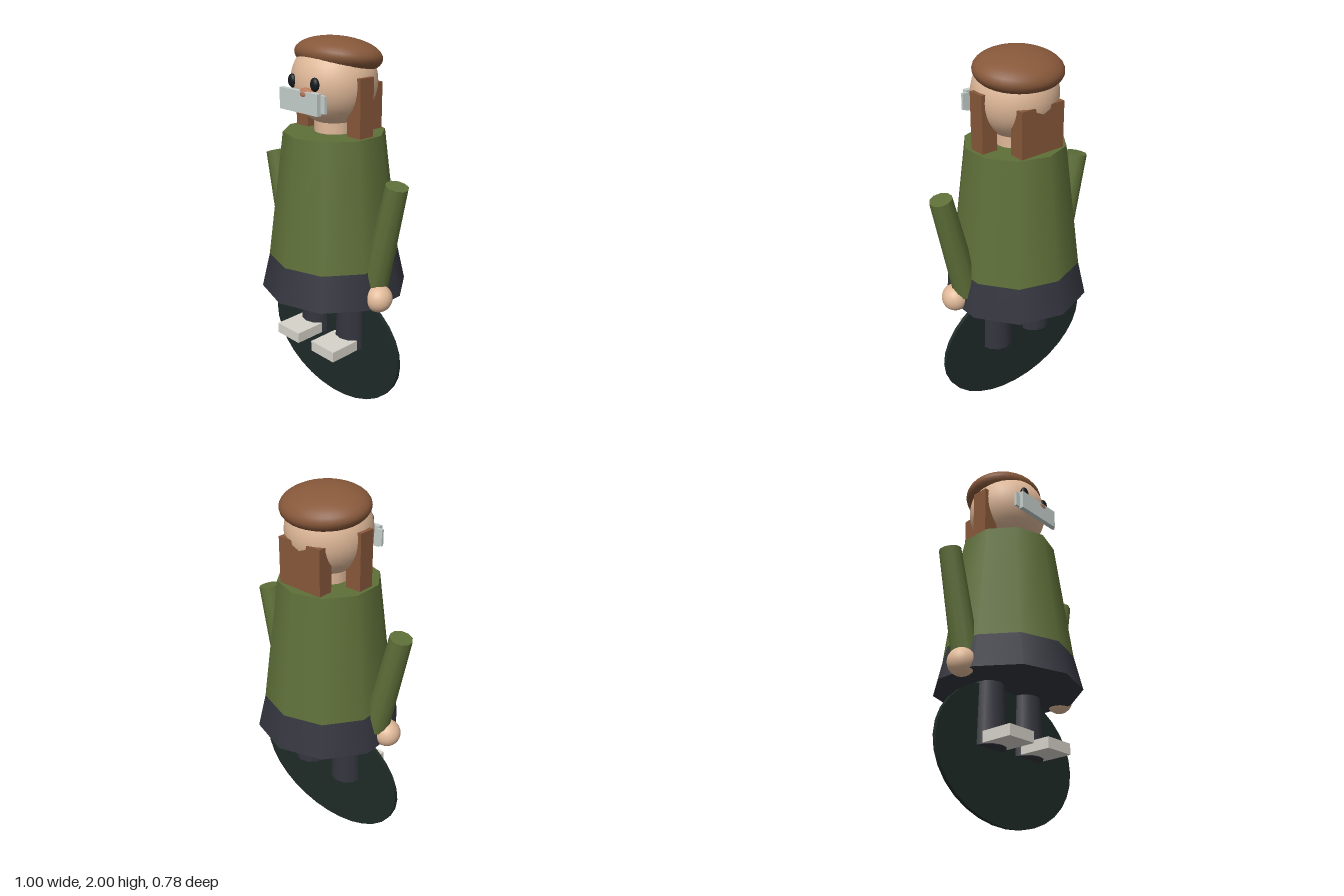
import * as THREE from 'three';

const mat = (color) => new THREE.MeshStandardMaterial({ color });

export function createModel() {
  const model = new THREE.Group();
  const green = mat(0x5f7039), charcoal = mat(0x34353e), hair = mat(0x87583a), skin = mat(0xe0b999);
  const black = mat(0x17191b), shoe = mat(0xd6d3ca), steel = mat(0xc6d0cc), nose = mat(0xb87a5c), dark = mat(0x1e2a27);

  const add = (name, geometry, material, x, y, z) => {
    const mesh = new THREE.Mesh(geometry, material);
    mesh.name = name;
    mesh.position.set(x, y, z);
    model.add(mesh);
    return mesh;
  };
  // Cylinder between two heights on a vertical axis
  const column = (name, material, rTop, rBottom, y0, y1, sides, x = 0) =>
    add(name, new THREE.CylinderGeometry(rTop, rBottom, y1 - y0, sides), material, x, (y0 + y1) / 2, 0);
  // Box from its limits
  const box = (name, material, x0, x1, y0, y1, z0, z1) =>
    add(name, new THREE.BoxGeometry(x1 - x0, y1 - y0, z1 - z0), material, (x0 + x1) / 2, (y0 + y1) / 2, (z0 + z1) / 2);
  const ellipsoid = (name, material, rx, ry, rz, x, y, z) =>
    add(name, new THREE.SphereGeometry(1, 32, 20).scale(rx, ry, rz), material, x, y, z);

  // Upright oval disc behind the feet
  add('disc', new THREE.CylinderGeometry(1, 1, 0.02, 32).rotateX(Math.PI / 2).scale(0.487, 0.36, 1), dark, 0, 0.36, 0);

  // Body
  column('skirt', charcoal, 0.347, 0.39, 0.69, 0.875, 10);
  column('coat', green, 0.261, 0.347, 0.875, 1.535, 10);
  column('neck', skin, 0.102, 0.102, 1.5, 1.64, 16);

  // Head, cap and face
  ellipsoid('head', skin, 0.217, 0.217, 0.217, 0, 1.783, 0);
  ellipsoid('cap', hair, 0.232, 0.092, 0.206, 0, 1.906, -0.028).rotation.x = -0.14;
  ellipsoid('nose', nose, 0.047, 0.028, 0.028, 0.035, 1.752, 0.215);
  box('backHair', hair, -0.13, 0.13, 1.52, 1.77, -0.21, -0.13);

  // Plate in front of the mouth
  box('facePlate', steel, -0.135, 0.135, 1.66, 1.765, 0.213, 0.24);

  for (const s of [-1, 1]) {
    const side = s > 0 ? 'left' : 'right';
    const span = (a, b) => (s > 0 ? [a, b] : [-b, -a]);

    ellipsoid(side + 'Eye', black, 0.026, 0.033, 0.018, s * 0.08, 1.798, 0.203);
    box(side + 'Hair', hair, ...span(0.143, 0.231), 1.52, 1.825, -0.04, 0.05);
    box(side + 'PlateClip', steel, ...span(0.13, 0.162), 1.672, 1.757, 0.203, 0.217);

    // Arm leaning outward at the top, with a ball hand
    const top = new THREE.Vector3(s * 0.447, 1.343, 0.015);
    const bottom = new THREE.Vector3(s * 0.315, 0.77, 0.015);
    const arm = add(side + 'Arm', new THREE.CylinderGeometry(0.058, 0.072, top.distanceTo(bottom), 10), green, 0, 0, 0);
    arm.position.copy(top).lerp(bottom, 0.5);
    arm.quaternion.setFromUnitVectors(new THREE.Vector3(0, 1, 0), top.clone().sub(bottom).normalize());
    ellipsoid(side + 'Hand', skin, 0.072, 0.072, 0.072, s * 0.37, 0.735, 0.043);

    // Leg and shoe
    column(side + 'Leg', charcoal, 0.078, 0.092, 0.363, 0.75, 12, s * 0.137);
    box(side + 'Shoe', shoe, ...span(0.053, 0.223), 0.366, 0.424, 0.045, 0.222);
  }
  return model;
}
